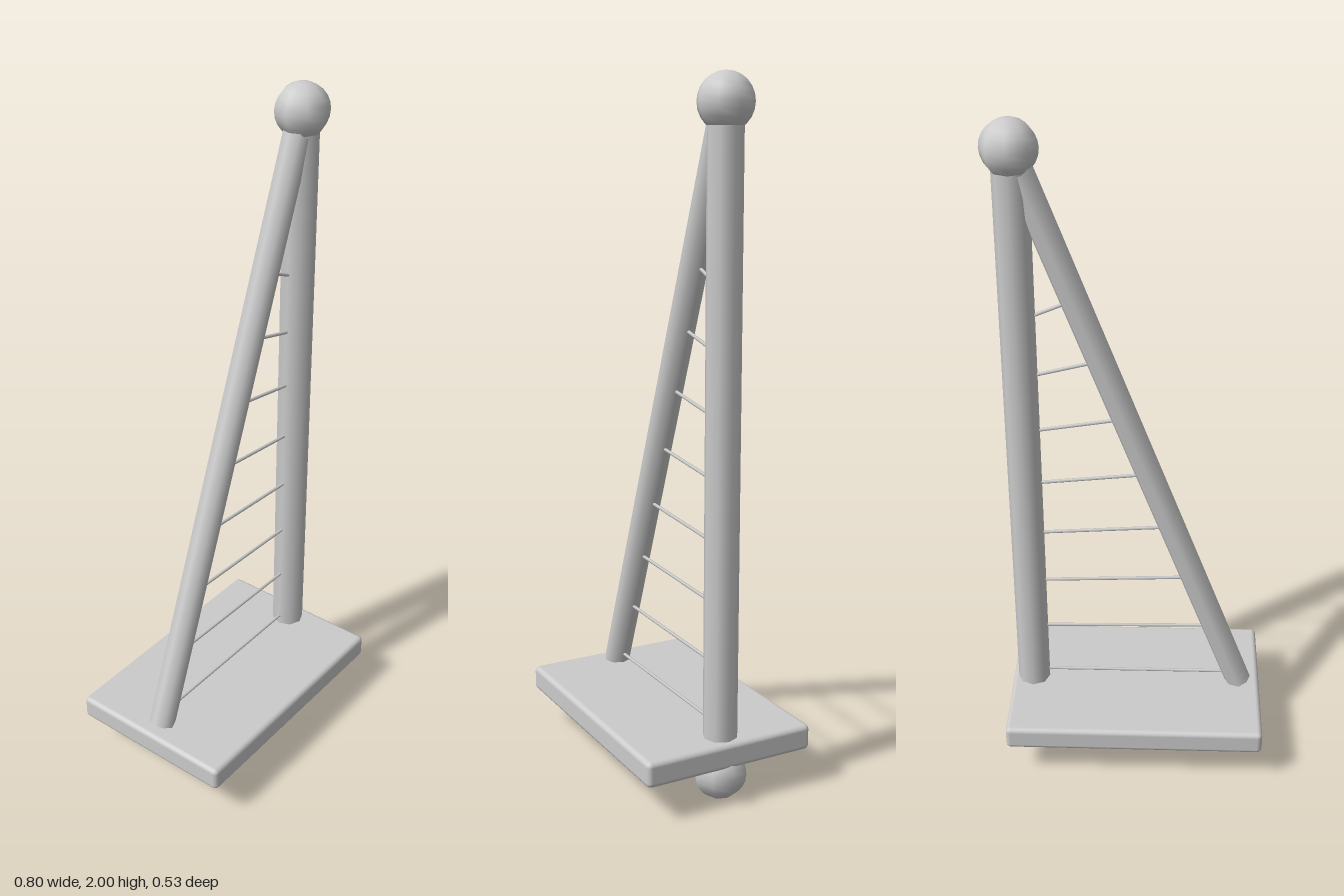
import * as THREE from 'three';
import { RoundedBoxGeometry } from 'three/addons/geometries/RoundedBoxGeometry.js';

export function createModel() {
  const model = new THREE.Group();
  const material = new THREE.MeshStandardMaterial({ color: 0xcccccc });

  const add = (name, geometry, x, y, z = 0) => {
    const mesh = new THREE.Mesh(geometry, material);
    mesh.name = name;
    mesh.position.set(x, y, z);
    model.add(mesh);
    return mesh;
  };

  // Cylinder between two points in the x-y plane
  const rod = (name, x1, y1, x2, y2, radius, sides) => {
    const length = Math.hypot(x2 - x1, y2 - y1);
    const mesh = add(name, new THREE.CylinderGeometry(radius, radius, length, sides), (x1 + x2) / 2, (y1 + y2) / 2);
    mesh.rotation.z = -Math.atan2(x2 - x1, y2 - y1);
  };

  const postX = 0.32, topY = 1.922, bottomY = 0.078;

  // Sound box
  add('soundBox', new RoundedBoxGeometry(0.786, 0.075, 0.526, 2, 0.015), -0.007, 0.148);

  // Upright post with a ball at each end
  rod('post', postX, bottomY, postX, topY, 0.05, 8);
  add('topBall', new THREE.SphereGeometry(0.078, 8, 12), postX, topY);
  add('bottomBall', new THREE.SphereGeometry(0.078, 8, 12), postX, bottomY);

  // Slanted arm from the box to the top ball
  const armX = -0.333, armY = 0.185;
  rod('slantedArm', armX, armY, postX, topY, 0.04, 8);

  // Strings fan slightly, running from the arm to the post
  for (let i = 0; i < 8; i++) {
    const y1 = 0.217 + 0.1835 * i;
    const x1 = armX + (postX - armX) * (y1 - armY) / (topY - armY);
    rod('string' + (i + 1), x1, y1, postX, 0.215 + 0.1743 * i, 0.005, 6);
  }

  return model;
}
